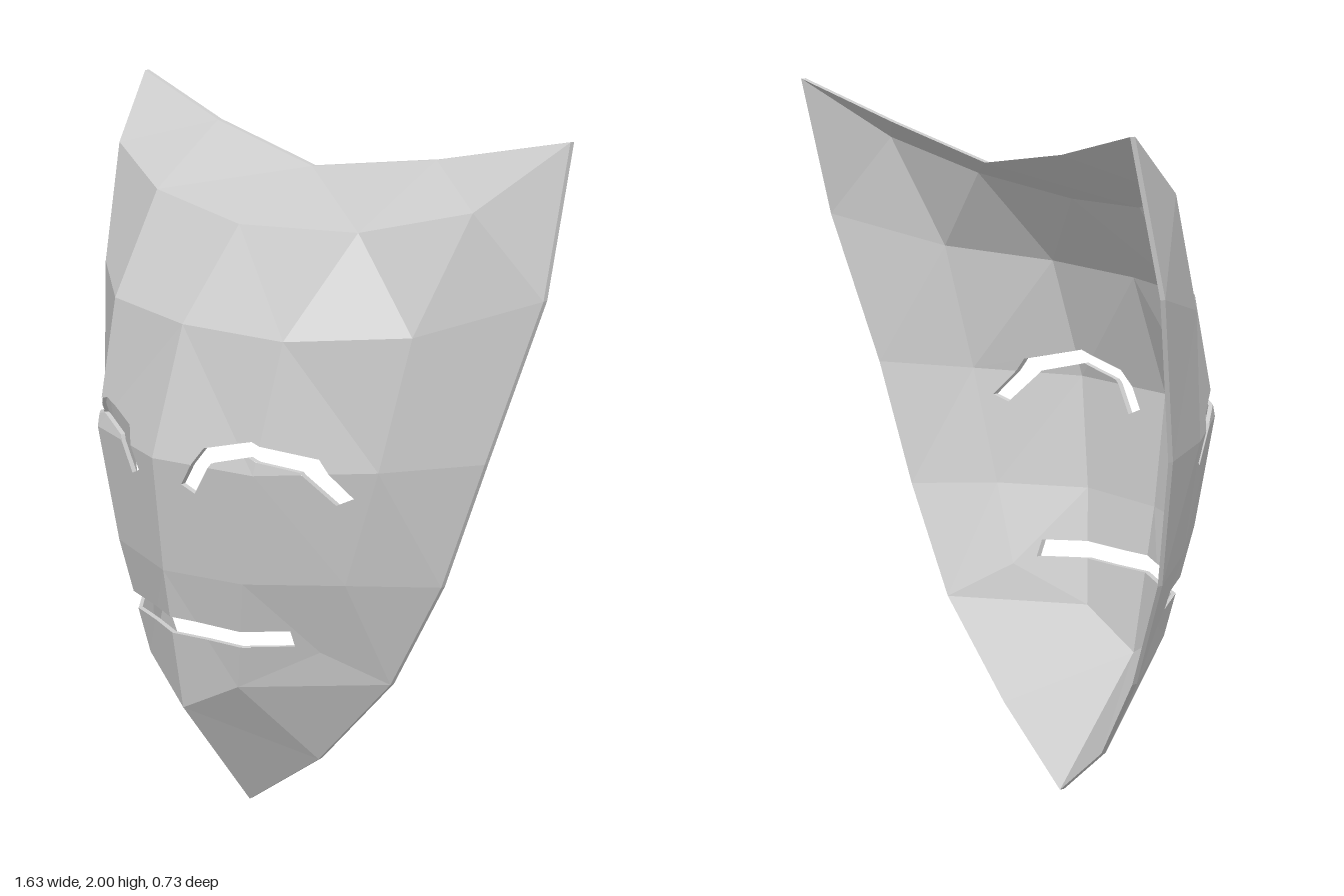
import * as THREE from 'three';

const THICK = 0.015;

// Control points of the left half, in rows from the centre line outwards
const ROWS = {
  top: [[0, 1.84, -0.24], [0.42, 1.91, -0.28], [0.81, 2, -0.35]],
  forehead: [[0, 1.72, 0.04], [0.39, 1.75, -0.015], [0.68, 1.83, -0.13], [0.81, 2, -0.35]],
  temple: [[0, 1.48, 0.25], [0.33, 1.485, 0.2], [0.6, 1.51, 0], [0.815, 1.6, -0.26]],
  brow: [[0, 1.13, 0.365], [0.31, 1.135, 0.29], [0.545, 1.145, 0.06], [0.72, 1.16, -0.16]],
  cheek: [[0, 0.8, 0.33], [0.25, 0.81, 0.27], [0.45, 0.81, 0.08], [0.62, 0.8, -0.115]],
  jaw: [[0, 0.37, 0.26], [0.18, 0.475, 0.22], [0.35, 0.585, 0.07], [0.47, 0.48, -0.085]],
  chin: [[0, 0, 0], [0.25, 0.2, -0.03], [0.47, 0.48, -0.085]],
};

const area = (p) => p.reduce((s, a, i) => {
  const b = p[(i + 1) % p.length];
  return s + (a[0] * b[1] - b[0] * a[1]) / 2;
}, 0);
const ccw = (p) => (area(p) < 0 ? [...p].reverse() : p);
const mirror = (p) => p.map(([x, ...rest]) => [-x, ...rest]);
const side = (a, b, p) => (b[0] - a[0]) * (p[1] - a[1]) - (b[1] - a[1]) * (p[0] - a[0]);

// Facets of the front surface: quads between neighbouring rows, as triangles
function buildFacets() {
  const tris = [];
  const rows = Object.values(ROWS);
  for (let r = 0; r < rows.length - 1; r++) {
    const n = Math.min(rows[r].length, rows[r + 1].length) - 1;
    for (let i = 0; i < n; i++) {
      const [a, b, c, d] = [rows[r][i], rows[r][i + 1], rows[r + 1][i + 1], rows[r + 1][i]];
      for (const t of [[a, b, c], [a, c, d]]) {
        if (Math.abs(area(t)) > 1e-6) tris.push(ccw(t), ccw(mirror(t)));
      }
    }
  }
  return tris;
}

// Splits a polygon along the line a-b into its left and right parts
function split(poly, a, b) {
  const left = [], right = [];
  poly.forEach((p, i) => {
    const q = poly[(i + 1) % poly.length];
    const sp = side(a, b, p), sq = side(a, b, q);
    if (sp >= 0) left.push(p);
    if (sp <= 0) right.push(p);
    if (sp * sq < 0) {
      const t = sp / (sp - sq);
      const m = p.map((v, k) => v + (q[k] - v) * t);
      left.push(m);
      right.push(m);
    }
  });
  return [left, right];
}

// Polygon minus a convex counter-clockwise cutter
function subtract(poly, cutter) {
  const out = [];
  let rest = poly;
  for (let i = 0; i < cutter.length && rest.length > 2; i++) {
    const [left, right] = split(rest, cutter[i], cutter[(i + 1) % cutter.length]);
    if (right.length > 2 && area(right) > 1e-9) out.push(right);
    rest = left;
  }
  return rest.length > 2 && area(rest) > 1e-9 ? out : [poly];
}

// Slots given by an upper and a lower edge
const eyeTop = [[0.085, 1.07], [0.148, 1.18], [0.288, 1.22], [0.43, 1.18], [0.492, 1.07]];
const eyeBottom = [[0.125, 1.05], [0.18, 1.145], [0.288, 1.178], [0.397, 1.145], [0.457, 1.05]];
const SLOTS = [
  [eyeTop, eyeBottom],
  [mirror(eyeTop), mirror(eyeBottom)],
  [[[-0.308, 0.657], [0.308, 0.657]], [[-0.308, 0.607], [0.308, 0.607]]],
];

function geometryFrom(polys) {
  const pos = [];
  for (const p of polys) {
    for (let i = 1; i < p.length - 1; i++) pos.push(...p[0], ...p[i], ...p[i + 1]);
  }
  const g = new THREE.BufferGeometry();
  g.setAttribute('position', new THREE.Float32BufferAttribute(pos, 3));
  g.computeVertexNormals();
  return g;
}

const back = ([x, y, z]) => [x, y, z - THICK];

// Wall from front to back along a closed loop, facing to the right of its direction
const wall = (loop) => loop.map((a, i) => {
  const b = loop[(i + 1) % loop.length];
  return [a, back(a), back(b), b];
});

export function createModel() {
  const group = new THREE.Group();
  group.name = 'mask';
  const material = new THREE.MeshStandardMaterial({ color: 0xcccccc, flatShading: true });
  const add = (name, polys) => {
    const mesh = new THREE.Mesh(geometryFrom(polys), material);
    mesh.name = name;
    group.add(mesh);
  };
  const facets = buildFacets();

  // Height of the front surface at a point
  const onSurface = ([x, y]) => {
    const p = [x, y];
    const [a, b, c] = facets.find(([u, v, w]) =>
      side(u, v, p) > -1e-7 && side(v, w, p) > -1e-7 && side(w, u, p) > -1e-7);
    const z = (side(b, c, p) * a[2] + side(c, a, p) * b[2] + side(a, b, p) * c[2]) / side(a, b, c);
    return [x, y, z];
  };

  // Face with the eye and mouth slots cut out, inside and outside
  let front = facets;
  for (const [upper, lower] of SLOTS) {
    for (let i = 0; i < upper.length - 1; i++) {
      const cutter = ccw([upper[i], upper[i + 1], lower[i + 1], lower[i]]);
      front = front.flatMap((p) => subtract(p, cutter));
    }
  }
  add('frontFace', front);
  add('innerFace', front.map((p) => p.map(back).reverse()));

  // Outer rim
  const { top, temple, brow, cheek, chin } = ROWS;
  const half = [chin[0], chin[1], chin[2], cheek[3], brow[3], temple[3], top[2], top[1], top[0]];
  add('rim', wall([...half, ...mirror(half.slice(1, -1)).reverse()]));

  // Inner walls of the slots, following the surface
  SLOTS.forEach(([upper, lower], k) => {
    const loop = ccw([...upper, ...[...lower].reverse()]).reverse();
    const fine = loop.flatMap((a, i) => {
      const b = loop[(i + 1) % loop.length];
      return Array.from({ length: 12 }, (_, s) =>
        onSurface([a[0] + (b[0] - a[0]) * s / 12, a[1] + (b[1] - a[1]) * s / 12]));
    });
    add(['leftEyeSlot', 'rightEyeSlot', 'mouthSlot'][k], wall(fine));
  });
  return group;
}
